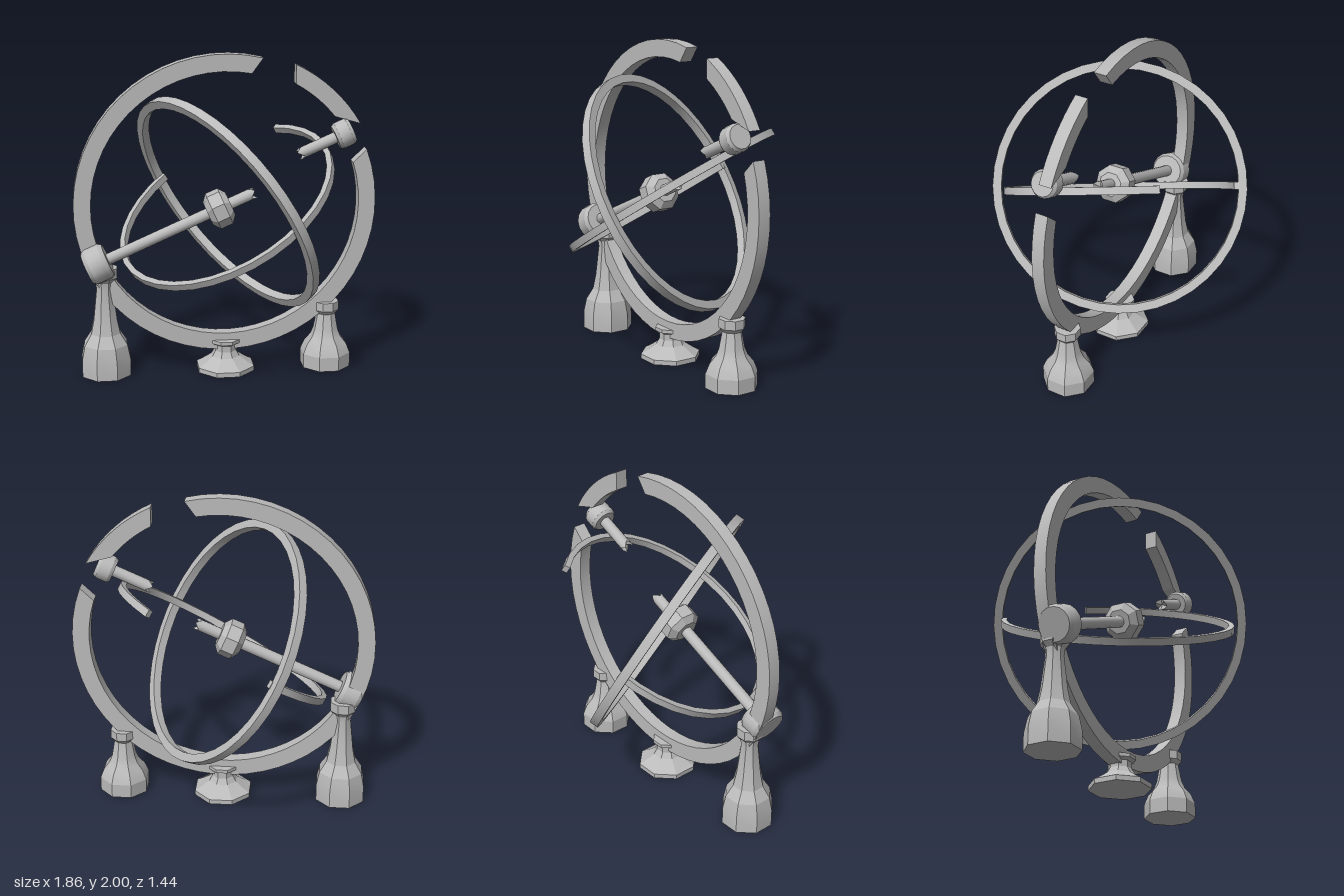
import * as THREE from 'three';
import { toCreasedNormals } from 'three/addons/utils/BufferGeometryUtils.js';

const stone = new THREE.MeshStandardMaterial({ color: 0xbbbbbb });
stone.name = 'grey stone';

const CENTER = [0, 1.07, 0];
const deg = THREE.MathUtils.degToRad;

function addMesh(parent, name, geometry, crease = 0.5) {
  const mesh = new THREE.Mesh(toCreasedNormals(geometry, crease), stone);
  mesh.name = name;
  parent.add(mesh);
  return mesh;
}

// Rectangular-section arc about an axis. start and end are [outer, inner]
// angles in degrees, so that broken ends can be cut at a slant.
function bandGeometry({ axis, zero, outer, inner, width, start, end, segments, closed = false }) {
  const n = new THREE.Vector3(...axis).normalize();
  const u = new THREE.Vector3(...zero).projectOnPlane(n).normalize();
  const v = new THREE.Vector3().crossVectors(n, u);
  const corners = [[1, 0], [-1, 0], [-1, 1], [1, 1]];
  const positions = [], index = [];
  for (let i = 0; i <= segments; i++) {
    for (const [side, edge] of corners) {
      const angle = deg(THREE.MathUtils.lerp(start[edge], end[edge], i / segments));
      const r = edge ? inner : outer;
      const p = new THREE.Vector3()
        .addScaledVector(u, r * Math.cos(angle))
        .addScaledVector(v, r * Math.sin(angle))
        .addScaledVector(n, side * width / 2);
      positions.push(p.x, p.y, p.z);
    }
  }
  for (let i = 0; i < segments; i++) {
    for (let k = 0; k < 4; k++) {
      const a = i * 4 + k, b = i * 4 + (k + 1) % 4;
      index.push(a, b, b + 4, a, b + 4, a + 4);
    }
  }
  if (!closed) {
    const e = segments * 4;
    index.push(e, e + 1, e + 2, e, e + 2, e + 3, 2, 1, 0, 3, 2, 0);
  }
  const geometry = new THREE.BufferGeometry();
  geometry.setAttribute('position', new THREE.Float32BufferAttribute(positions, 3));
  geometry.setIndex(index);
  return geometry;
}

// Solid turned from a [radius, height] profile
function turned(profile, sides, phase = 0) {
  const grow = 1 / Math.cos(Math.PI / sides);
  const points = profile.map(([r, y]) => new THREE.Vector2(r * grow, y));
  points.unshift(new THREE.Vector2(0, profile[0][1]));
  points.push(new THREE.Vector2(0, profile[profile.length - 1][1]));
  return new THREE.LatheGeometry(points, sides, phase);
}

// Rod along y from 0 to length, with a jagged break at one end
function brokenRod(radius, length, breakAtTop) {
  const geometry = new THREE.CylinderGeometry(radius, radius, length, 12).translate(0, length / 2, 0);
  const pos = geometry.attributes.position;
  for (let i = 0; i < pos.count; i++) {
    const x = pos.getX(i), y = pos.getY(i), z = pos.getZ(i);
    if ((y > length / 2) !== breakAtTop) continue;
    const jag = Math.hypot(x, z) < 0.001 ? -0.02 : 0.018 * Math.cos(3 * Math.atan2(z, x));
    pos.setY(i, y + (breakAtTop ? jag : -jag));
  }
  return geometry;
}

// Chamfered round collar centred on the rod
const collar = (radius, bevel, half, halfFlat, sides) => turned(
  [[bevel, -half], [radius, -halfFlat], [radius, halfFlat], [bevel, half]], sides, Math.PI / sides);

export function createModel() {
  const model = new THREE.Group();
  model.name = 'brokenArmillarySphere';

  // Upright outer ring, broken at the upper right
  const outerRing = { axis: [0, 0, 1], zero: [1, 0, 0], outer: 0.93, inner: 0.825, width: 0.08 };
  addMesh(model, 'outerRing', bandGeometry({
    ...outerRing, start: [76, 79], end: [380.8, 377.7], segments: 48,
  })).position.set(...CENTER);
  addMesh(model, 'outerRingFragment', bandGeometry({
    ...outerRing, start: [30.5, 39], end: [64.5, 61], segments: 8,
  })).position.set(0.025, 1.09, 0);

  // Complete tilted inner ring
  addMesh(model, 'tiltedRing', bandGeometry({
    axis: [0.77, 0.48, -0.41], zero: [0, 1, 0], outer: 0.778, inner: 0.725, width: 0.055,
    start: [0, 0], end: [360, 360], segments: 40, closed: true,
  })).position.set(...CENTER);

  // Partial inner ring, open at the back
  const axis = new THREE.Vector3(-0.464, 0.837, 0.289).normalize();
  const from = new THREE.Vector3(-0.33, 0.03, -0.65).projectOnPlane(axis).normalize();
  const to = new THREE.Vector3(0.4, 0.39, -0.48);
  const across = new THREE.Vector3().crossVectors(axis, from);
  const sweep = (THREE.MathUtils.radToDeg(Math.atan2(to.dot(across), to.dot(from))) + 360) % 360;
  addMesh(model, 'partialRing', bandGeometry({
    axis: axis.toArray(), zero: from.toArray(), outer: 0.72, inner: 0.685, width: 0.045,
    start: [0, 0], end: [sweep, sweep], segments: 28,
  })).position.set(0, 1.07, -0.015);

  // Lower half of the axle: end cap, rod and central hub
  const slope = deg(23.7) - Math.PI / 2;
  const lowerAxle = new THREE.Group();
  lowerAxle.name = 'lowerAxle';
  lowerAxle.position.set(-0.79, 0.73, 0.055);
  lowerAxle.rotation.z = slope;
  addMesh(lowerAxle, 'axleCap', collar(0.113, 0.098, 0.07, 0.045, 16));
  addMesh(lowerAxle, 'axleRod', brokenRod(0.036, 1.04, true), 0.6);
  addMesh(lowerAxle, 'axleHub', collar(0.11, 0.07, 0.075, 0.04, 8), 0.3).position.y = 0.815;
  model.add(lowerAxle);

  // Upper, snapped-off piece of the axle
  const upperAxle = new THREE.Group();
  upperAxle.name = 'upperAxle';
  upperAxle.position.set(0.72, 1.505, 0.055);
  upperAxle.rotation.z = slope;
  addMesh(upperAxle, 'axleCap', collar(0.083, 0.07, 0.055, 0.035, 16));
  addMesh(upperAxle, 'axleRod', brokenRod(0.036, 0.29, false), 0.6).position.y = -0.29;
  model.add(upperAxle);

  // Eight-sided pedestals
  const pedestals = [
    ['tallPedestal', -0.75, [[0.15, 0], [0.15, 0.11], [0.132, 0.2], [0.09, 0.27], [0.072, 0.36],
      [0.05, 0.56], [0.055, 0.6], [0.078, 0.63], [0.078, 0.69]]],
    ['lowPedestal', 0, [[0.174, 0], [0.174, 0.03], [0.14, 0.05], [0.085, 0.09], [0.066, 0.125],
      [0.066, 0.165], [0.088, 0.178], [0.088, 0.2]]],
    ['shortPedestal', 0.64, [[0.148, 0], [0.148, 0.09], [0.125, 0.15], [0.09, 0.195], [0.073, 0.24],
      [0.055, 0.345], [0.075, 0.37], [0.075, 0.425]]],
  ];
  for (const [name, x, profile] of pedestals) {
    addMesh(model, name, turned(profile, 8, Math.PI / 8), 0.3).position.x = x;
  }

  return model;
}
